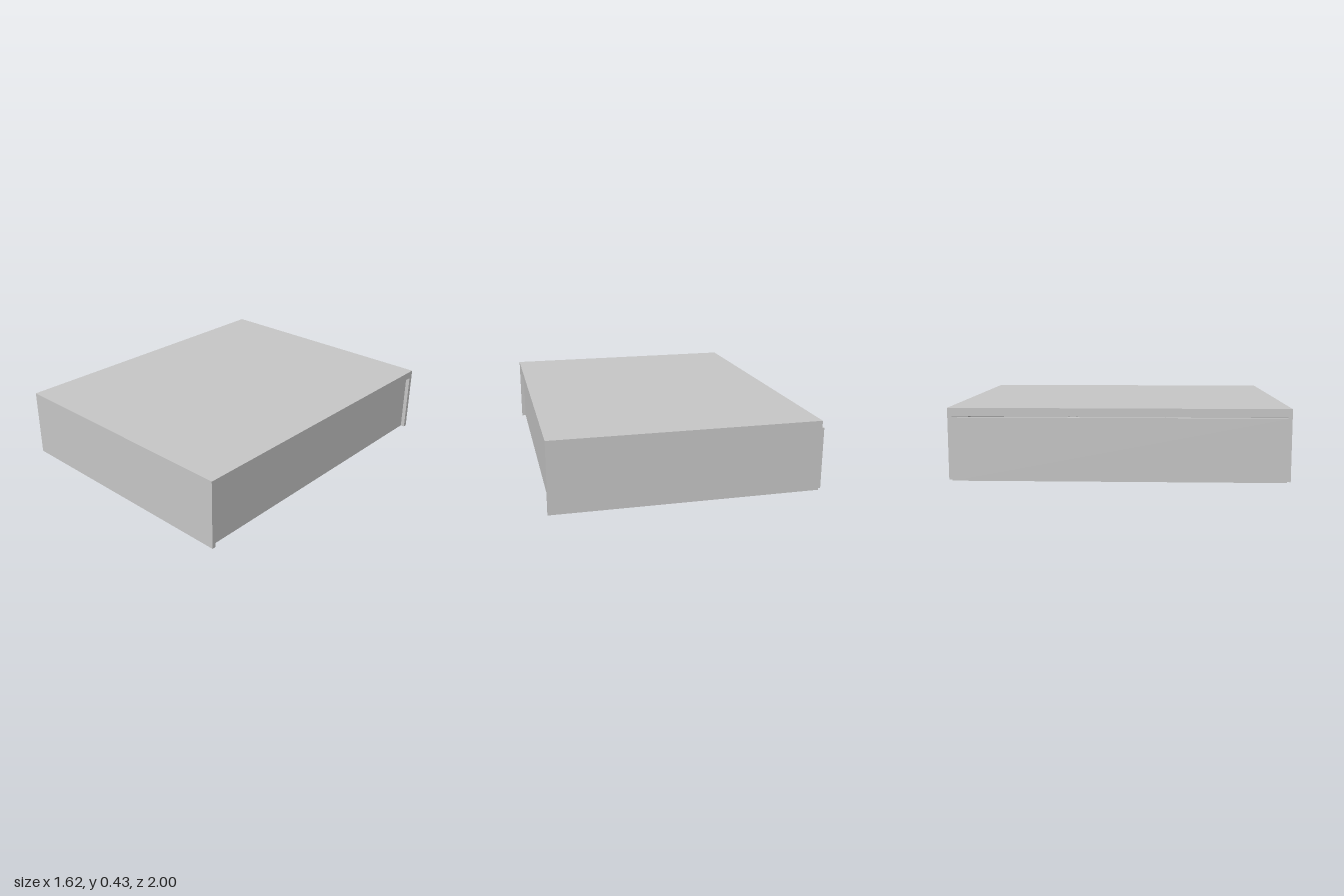
import * as THREE from 'three';

export function createModel() {
  const model = new THREE.Group();
  const grey = new THREE.MeshStandardMaterial({ color: 0xc8c8c8 });
  grey.name = 'plain grey';

  // Box given by its min and max on each axis
  function block(name, [x0, x1], [y0, y1], [z0, z1], parent = model) {
    const mesh = new THREE.Mesh(new THREE.BoxGeometry(x1 - x0, y1 - y0, z1 - z0), grey);
    mesh.position.set((x0 + x1) / 2, (y0 + y1) / 2, (z0 + z1) / 2);
    mesh.name = name;
    parent.add(mesh);
  }

  // Flat top on four thin legs, standing on the floor
  function legged(name, x, z, w, d, h, top, leg) {
    const group = new THREE.Group();
    group.name = name;
    group.position.set(x, 0, z);
    block(name + 'Top', [-w / 2, w / 2], [h - top, h], [-d / 2, d / 2], group);
    for (const sx of [-1, 1]) for (const sz of [-1, 1]) {
      const lx = sx * (w - leg) / 2, lz = sz * (d - leg) / 2;
      block(name + 'Leg', [lx - leg / 2, lx + leg / 2], [0, h - top], [lz - leg / 2, lz + leg / 2], group);
    }
    model.add(group);
  }

  // Shell, open underneath
  const ceiling = 0.378, roofX = [-0.785, 0.81];
  block('roof', roofX, [ceiling, 0.427], [-1, 1]);
  block('frontWall', roofX, [0, ceiling], [0.975, 1]);
  block('backWall', roofX, [0, ceiling], [-1, -0.975]);
  block('rightWall', [-0.81, -0.785], [0, 0.375], [-0.975, 0.975]);
  block('leftWall', [0.76, 0.785], [0, ceiling], [-0.975, 0.975]);

  // Four square columns
  for (const x of [-0.215, 0.31]) for (const z of [-0.375, 0.31])
    block('column', [x - 0.025, x + 0.025], [0, ceiling], [z - 0.025, z + 0.025]);

  // Row of desks, each with a stool
  for (let i = 0; i < 4; i++) {
    const x = 0.45 - i * 0.264;
    legged('desk', x, -0.58, 0.22, 0.13, 0.095, 0.004, 0.005);
    legged('stool', x - 0.01, -0.445, 0.055, 0.055, 0.055, 0.006, 0.005);
  }
  return model;
}
